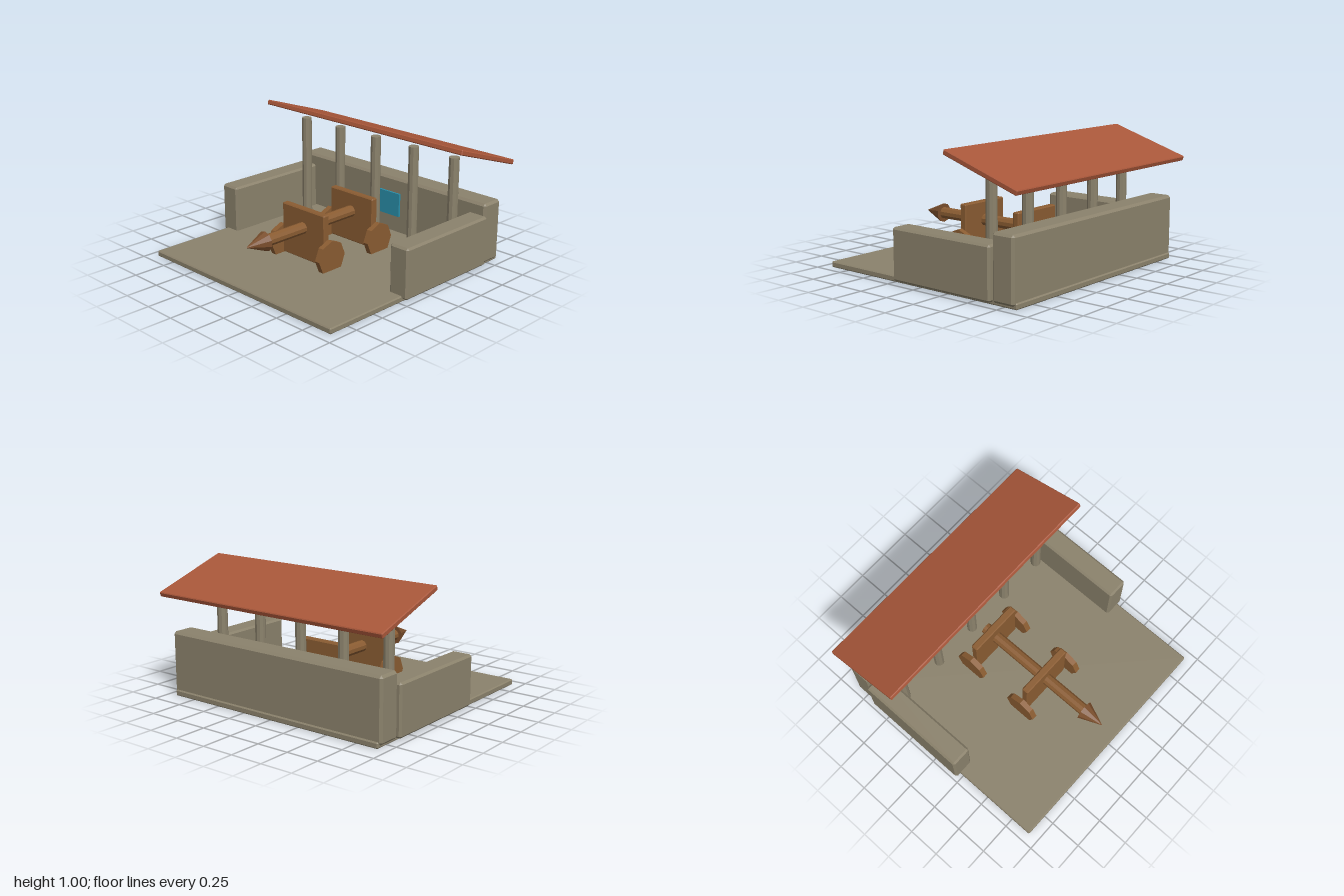
import * as THREE from 'three';
import { ConvexGeometry } from 'three/addons/geometries/ConvexGeometry.js';

const mat = (name, color) => new THREE.MeshStandardMaterial({ name, color, flatShading: true });

// Box with every edge chamfered by c, centred on its origin
function chamferBox(w, h, d, c) {
  const points = [];
  for (const sx of [-1, 1]) for (const sy of [-1, 1]) for (const sz of [-1, 1]) {
    const x = w / 2, y = h / 2, z = d / 2;
    points.push(
      new THREE.Vector3(sx * x, sy * (y - c), sz * (z - c)),
      new THREE.Vector3(sx * (x - c), sy * y, sz * (z - c)),
      new THREE.Vector3(sx * (x - c), sy * (y - c), sz * z));
  }
  return new ConvexGeometry(points);
}

export function createModel() {
  const model = new THREE.Group();
  model.name = 'ramShelter';
  const stone = mat('stone', 0x8b826c);
  const wood = mat('wood', 0x8a5c32);
  const darkWood = mat('darkWood', 0x7a4e2c);
  const tile = mat('roofTile', 0xa9573a);
  const teal = mat('tealPanel', 0x2a8faa);

  const add = (parent, name, geometry, material, x, y, z) => {
    const mesh = new THREE.Mesh(geometry, material);
    mesh.name = name;
    mesh.position.set(x, y, z);
    parent.add(mesh);
    return mesh;
  };

  // Floor slab and low walls
  add(model, 'floor', chamferBox(1.86, 0.045, 1.78, 0.008), stone, 0, 0.0225, 0.03);
  add(model, 'backWall', chamferBox(1.9, 0.47, 0.185, 0.018), stone, 0, 0.255, -0.755);
  for (const s of [-1, 1]) {
    add(model, s > 0 ? 'leftWall' : 'rightWall',
      chamferBox(0.165, 0.385, 0.89, 0.015), stone, s * 0.892, 0.213, -0.22);
  }

  // Coloured panel on the inner face of the back wall
  add(model, 'wallPanel', new THREE.BoxGeometry(0.26, 0.19, 0.02), teal, 0, 0.275, -0.656);

  // Row of posts under the sloping roof
  const postGeometry = new THREE.CylinderGeometry(0.04, 0.04, 0.805, 10);
  for (let i = -2; i <= 2; i++) {
    add(model, 'post', postGeometry, stone, i * 0.383, 0.4475, -0.51);
  }
  const roof = add(model, 'roof', chamferBox(2, 0.038, 0.655, 0.006), tile, 0, 0.876, -0.603);
  roof.rotation.x = -0.32;

  // Wheeled ram: two upright boards, four octagonal wheels, beam and pointed head
  const ram = new THREE.Group();
  ram.name = 'ram';
  model.add(ram);
  const boardGeometry = chamferBox(0.44, 0.395, 0.056, 0.008);
  const wheelGeometry = new THREE.CylinderGeometry(0.132, 0.132, 0.043, 8).rotateZ(Math.PI / 2);
  for (const z of [0.245, -0.265]) {
    add(ram, 'uprightBoard', boardGeometry, wood, 0, 0.257, z);
    for (const s of [-1, 1]) add(ram, 'wheel', wheelGeometry, wood, s * 0.253, 0.14, z);
  }
  add(ram, 'beam', new THREE.CylinderGeometry(0.045, 0.045, 1.0, 10).rotateX(Math.PI / 2),
    wood, 0, 0.308, 0.15);
  add(ram, 'ramHead', new THREE.ConeGeometry(0.075, 0.18, 10).rotateX(Math.PI / 2),
    darkWood, 0, 0.308, 0.735);

  return model;
}
